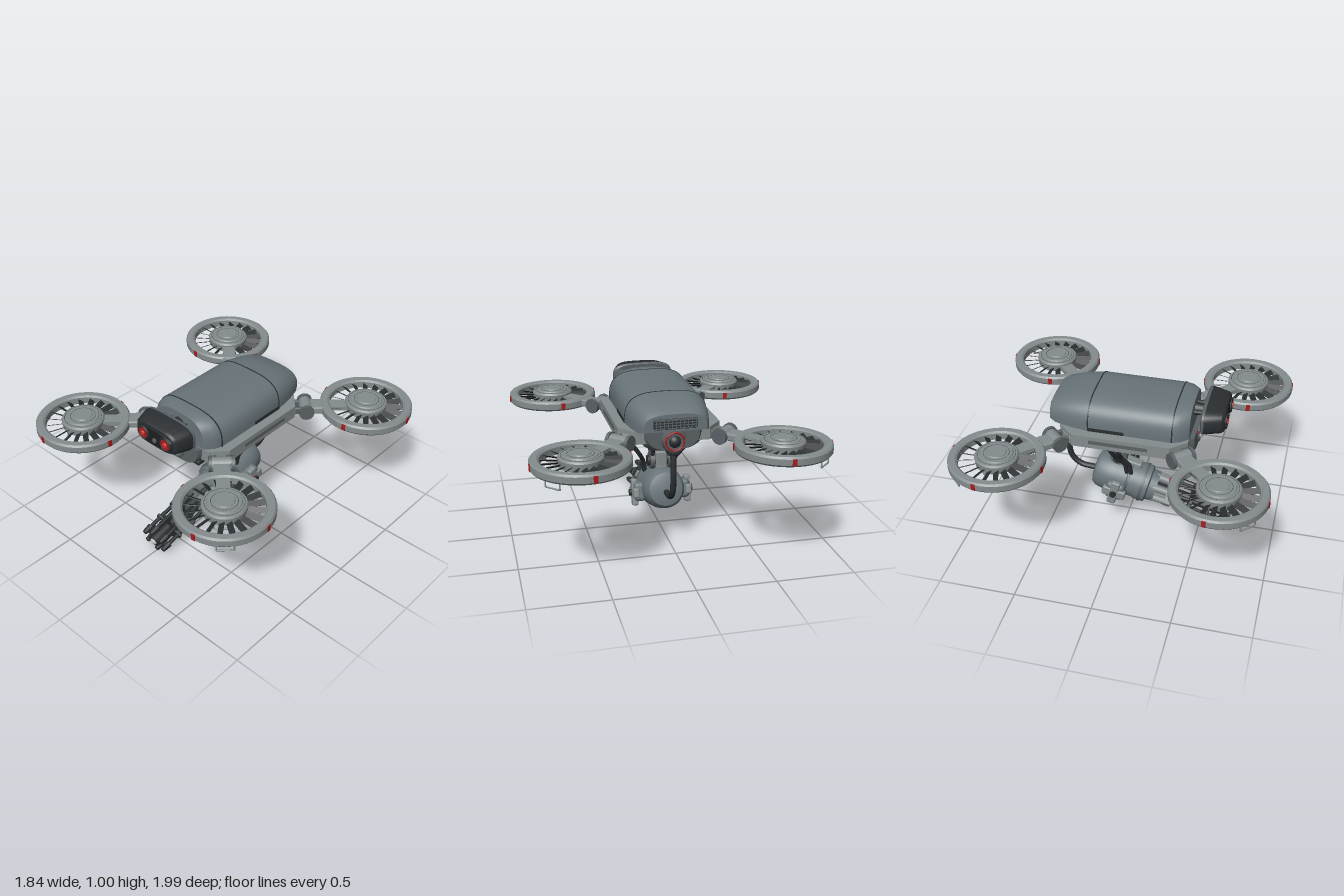
import * as THREE from 'three';
import { toCreasedNormals } from 'three/addons/utils/BufferGeometryUtils.js';
import { RoundedBoxGeometry } from 'three/addons/geometries/RoundedBoxGeometry.js';

const mat = (color) => new THREE.MeshStandardMaterial({ color });
const shellMat = mat(0x69757a), greyMat = mat(0x858c8d), midMat = mat(0x5a6164);
const darkMat = mat(0x2b2f32), redMat = mat(0xa81c1c), lightMat = mat(0xcccccc);
const V = (x, y, z) => new THREE.Vector3(x, y, z);

function add(parent, name, geo, material, x = 0, y = 0, z = 0) {
  const m = new THREE.Mesh(geo, material);
  m.name = name;
  m.position.set(x, y, z);
  parent.add(m);
  return m;
}
function group(parent, name, x = 0, y = 0, z = 0) {
  const g = new THREE.Group();
  g.name = name;
  g.position.set(x, y, z);
  parent.add(g);
  return g;
}
const box = (w, h, d) => new THREE.BoxGeometry(w, h, d);
const rbox = (w, h, d, r = 0.012) => new RoundedBoxGeometry(w, h, d, 2, r);
const cyl = (r1, r2, h, n = 24) => new THREE.CylinderGeometry(r1, r2, h, n);
const cylZ = (rFront, rBack, h, n = 24) => cyl(rFront, rBack, h, n).rotateX(Math.PI / 2);
const cylX = (r, h, n = 24) => cyl(r, r, h, n).rotateZ(Math.PI / 2);
const lathe = (pts, n = 40) => toCreasedNormals(
  new THREE.LatheGeometry(pts.map(([r, y]) => new THREE.Vector2(r, y)), n), 0.5);

// straight rod between two points
function rod(parent, name, a, b, r, material, n = 8) {
  const m = add(parent, name, cyl(r, r, a.distanceTo(b), n), material);
  m.position.copy(a).lerp(b, 0.5);
  m.quaternion.setFromUnitVectors(V(0, 1, 0), b.clone().sub(a).normalize());
}
const tube = (pts, r) => new THREE.TubeGeometry(new THREE.CatmullRomCurve3(pts), 28, r, 10);

// loft of superellipse sections [z, halfWidth, yBottom, yTop], z rising; half = flat bottom
function loft(sections, power, half) {
  const N = 36, pos = [], idx = [];
  for (const [z, w, y0, y1] of sections) {
    for (let j = 0; j < N; j++) {
      const t = half ? Math.PI * j / (N - 1) : 2 * Math.PI * j / N;
      const c = Math.cos(t), s = Math.sin(t), e = 2 / power;
      const px = Math.sign(c) * Math.abs(c) ** e, py = Math.sign(s) * Math.abs(s) ** e;
      pos.push(w * px, half ? y0 + (y1 - y0) * py : (y0 + y1) / 2 + (y1 - y0) / 2 * py, z);
    }
  }
  const last = sections.length - 1;
  for (const k of [0, last]) pos.push(0, (sections[k][2] + sections[k][3]) / 2, sections[k][0]);
  const c0 = sections.length * N;
  for (let j = 0; j < N; j++) {
    const k = (j + 1) % N;
    for (let i = 0; i < last; i++) {
      const a = i * N + j, b = i * N + k;
      idx.push(a, b, a + N, b, b + N, a + N);
    }
    idx.push(c0, k, j, c0 + 1, last * N + j, last * N + k);
  }
  const g = new THREE.BufferGeometry();
  g.setAttribute('position', new THREE.Float32BufferAttribute(pos, 3));
  g.setIndex(idx);
  return toCreasedNormals(g, 0.5);
}

function buildBody(root) {
  const body = group(root, 'body');
  add(body, 'upperShell', loft([[-0.48, 0.2, 0.82, 0.93], [-0.44, 0.222, 0.81, 0.955], [-0.33, 0.25, 0.8, 0.985],
    [-0.21, 0.268, 0.8, 1.0], [0.33, 0.268, 0.8, 1.0], [0.38, 0.25, 0.8, 1.0], [0.43, 0.205, 0.8, 0.99]], 3.2, true), shellMat);
  for (const z of [-0.21, 0.33])
    add(body, 'shellSeam', loft([[z - 0.004, 0.2695, 0.8, 1.0015], [z + 0.004, 0.2695, 0.8, 1.0015]], 3.2, true), darkMat);

  // flat deck with rounded corners
  const s = new THREE.Shape([[0.33, -0.3], [0.33, 0.33], [0.24, 0.43], [-0.24, 0.43], [-0.33, 0.33],
    [-0.33, -0.3], [-0.24, -0.4], [0.24, -0.4]].map(([x, z]) => new THREE.Vector2(x, -z)).reverse());
  add(body, 'deck', new THREE.ExtrudeGeometry(s, { depth: 0.06, bevelSize: 0.0, bevelThickness: 0.012, bevelSegments: 1 })
    .rotateX(-Math.PI / 2), greyMat, 0, 0.735, 0);

  // lower hull, nose and belly
  add(body, 'lowerHull', loft([[-0.42, 0.17, 0, 0.12], [-0.36, 0.21, 0, 0.145], [0.38, 0.21, 0, 0.145],
    [0.46, 0.18, 0, 0.14]], 2.8, true), midMat, 0, 0.8, 0).rotation.z = Math.PI;
  add(body, 'bellyPlate', rbox(0.3, 0.035, 0.44), darkMat, 0, 0.655, 0.2);
  add(body, 'noseRing', new THREE.TorusGeometry(0.056, 0.01, 8, 32), midMat, 0, 0.735, 0.462);
  add(body, 'noseLens', new THREE.SphereGeometry(0.047, 24, 16), lightMat, 0, 0.735, 0.45);
  for (const [x, y] of [[-0.065, 0.77], [0.065, 0.77], [0, 0.785]])
    add(body, 'noseLight', new THREE.SphereGeometry(0.009, 10, 8), redMat, x, y, 0.461);

  // rear grille and sensor
  add(body, 'rearGrille', rbox(0.28, 0.07, 0.02), darkMat, 0, 0.868, -0.477);
  for (let i = 0; i < 4; i++) add(body, 'grilleSlat', box(0.27, 0.006, 0.008), midMat, 0, 0.843 + i * 0.017, -0.487);
  for (let i = 0; i < 11; i++) add(body, 'grilleBar', box(0.006, 0.06, 0.008), midMat, -0.125 + i * 0.025, 0.868, -0.487);
  add(body, 'rearSensorHousing', cylZ(0.085, 0.07, 0.06), midMat, 0, 0.745, -0.43);
  add(body, 'rearSensorRing', new THREE.TorusGeometry(0.058, 0.006, 8, 32), redMat, 0, 0.745, -0.462);
  add(body, 'rearSensorLens', new THREE.SphereGeometry(0.042, 20, 12), darkMat, 0, 0.745, -0.445);

  for (const sx of [1, -1]) {
    add(body, 'sideSlot', box(0.012, 0.024, 0.38), midMat, sx * 0.328, 0.768, 0);
    add(body, 'sideVent', box(0.02, 0.022, 0.23), darkMat, sx * 0.262, 0.82, -0.09);
    add(body, 'sideStep', rbox(0.05, 0.06, 0.5), midMat, sx * 0.22, 0.715, 0.02);
    for (const z of [-0.03, -0.09]) add(body, 'cableSocket', rbox(0.05, 0.06, 0.045), darkMat, sx * 0.215, 0.675, z);
  }
}

function buildHead(root) {
  const head = group(root, 'head', 0, 0.91, 0);
  add(head, 'neck', cylZ(0.035, 0.045, 0.1), darkMat, 0, 0, 0.46);
  for (const x of [-0.06, 0.06]) add(head, 'neckRod', cylZ(0.014, 0.014, 0.1, 12), darkMat, x, 0.01, 0.46);
  add(head, 'headBack', loft([[0.492, 0.19, -0.08, 0.085], [0.5, 0.207, -0.088, 0.092], [0.515, 0.207, -0.088, 0.092]], 3.6), midMat);
  add(head, 'headShell', loft([[0.515, 0.203, -0.086, 0.09], [0.53, 0.203, -0.086, 0.09], [0.62, 0.172, -0.078, 0.08],
    [0.635, 0.155, -0.07, 0.07]], 3.6), darkMat);
  add(head, 'facePlate', loft([[0.63, 0.15, -0.06, 0.055], [0.641, 0.145, -0.056, 0.05]], 3), mat(0x1c1f21));
  for (const x of [-0.095, 0.095]) {
    add(head, 'eyeRim', new THREE.TorusGeometry(0.042, 0.008, 8, 32), darkMat, x, -0.003, 0.642);
    add(head, 'eye', cylZ(0.036, 0.038, 0.012, 32), redMat, x, -0.003, 0.642);
    add(head, 'pupil', cylZ(0.014, 0.018, 0.01, 20), mat(0xd23a32), x, -0.003, 0.65);
  }
  add(head, 'centreSensor', cylZ(0.015, 0.018, 0.012, 16), midMat, 0, -0.02, 0.642);
}

function buildFan(root, sx, sz) {
  const fan = group(root, 'fan', sx * 0.617, 0.755, sz * 0.69);
  add(fan, 'duct', lathe([[0.242, -0.025], [0.255, -0.032], [0.292, -0.032], [0.302, -0.02], [0.302, 0.018],
    [0.292, 0.03], [0.255, 0.03], [0.242, 0.02], [0.242, -0.025]], 48), greyMat);
  add(fan, 'hub', lathe([[0, -0.035], [0.1, -0.035], [0.132, -0.02], [0.138, 0.03], [0.13, 0.042], [0.105, 0.042],
    [0.1, 0.05], [0.062, 0.05], [0.058, 0.056], [0, 0.056]]), greyMat);
  for (const r of [0.118, 0.08])
    add(fan, 'hubGroove', new THREE.TorusGeometry(r, 0.002, 6, 40).rotateX(Math.PI / 2), midMat, 0, r > 0.1 ? 0.042 : 0.05, 0);
  for (let i = 0; i < 20; i++) {
    const pivot = group(fan, 'blade', 0, 0, 0);
    pivot.rotation.y = i * Math.PI / 10;
    add(pivot, 'bladeVane', box(0.115, 0.004, 0.038), darkMat, 0.187, 0, 0).rotation.x = 0.6;
  }
  // red markers on the rim
  for (let i = 0; i < 4; i++) {
    const pivot = group(fan, 'rimMarker');
    pivot.rotation.y = i * Math.PI / 2 + 0.13 * sx;
    add(pivot, 'rimMarkerPlate', box(0.01, 0.042, 0.026), redMat, 0.3, -0.001, 0);
  }
  // wire skids
  for (const [dx, dz] of [[0.19, 0.2], [0.06, 0.08]]) {
    const p = [[-1, -0.03], [-1, -0.072], [1, -0.072], [1, -0.03]]
      .map(([k, y]) => V(sx * (dx + k * 0.036), y, sz * (dz - k * 0.036)));
    for (let i = 0; i < 3; i++) rod(fan, 'skid', p[i], p[i + 1], 0.005, greyMat);
  }
  // strut and hinged arm reaching toward the body
  const arm = group(fan, 'arm');
  arm.rotation.y = Math.atan2(-sx, -sz);
  add(arm, 'hubStrut', box(0.085, 0.03, 0.13), greyMat, 0, 0.005, 0.185);
  add(arm, 'outerArm', rbox(0.11, 0.05, 0.1), greyMat, 0, 0, 0.325);
  add(arm, 'hinge', cylX(0.042, 0.13), greyMat, 0, 0, 0.4);
  for (const k of [-1, 1]) {
    add(arm, 'hingeCap', cylX(0.05, 0.022), midMat, k * 0.07, 0, 0.4);
    add(arm, 'hingeFork', rbox(0.025, 0.05, 0.12, 0.008), midMat, k * 0.042, 0, 0.46);
  }
  add(arm, 'innerArm', rbox(0.13, 0.055, 0.08), greyMat, 0, 0, 0.51);
}

function buildTurret(root) {
  const turret = group(root, 'turret');
  add(turret, 'turretBase', lathe([[0, 0.59], [0.085, 0.59], [0.095, 0.605], [0.13, 0.605], [0.145, 0.62],
    [0.145, 0.65], [0.12, 0.67], [0, 0.67]]), greyMat, 0, 0, -0.03);
  for (const sx of [1, -1]) {
    for (const z of [0.0, -0.12]) rod(turret, 'yokeStrut', V(sx * 0.06, 0.61, z), V(sx * 0.06, 0.47, -0.06), 0.015, darkMat);
    add(turret, 'yokePlate', cylX(0.058, 0.03), midMat, sx * 0.06, 0.485, -0.06);
    // side cables
    for (const k of [0, 1])
      add(turret, 'sideCable', tube([V(sx * 0.21, 0.68, -0.03 - k * 0.06), V(sx * 0.2, 0.62, -0.03 - k * 0.05),
        V(sx * 0.14, 0.53, -0.02 - k * 0.03), V(sx * 0.105, 0.46, 0.02 - k * 0.03), V(sx * 0.09, 0.38, 0.03 - k * 0.03)], 0.014), darkMat);
  }
  add(turret, 'pivotBlock', rbox(0.075, 0.17, 0.09), greyMat, 0, 0.47, -0.06);
  add(turret, 'pivotPin', cylX(0.035, 0.18), darkMat, 0, 0.485, -0.06);
  add(turret, 'feedSocket', rbox(0.08, 0.07, 0.08), darkMat, 0, 0.68, -0.4);
  add(turret, 'feedHose', tube([V(0, 0.68, -0.41), V(0, 0.6, -0.42), V(0, 0.48, -0.425), V(0, 0.39, -0.405),
    V(0, 0.335, -0.345), V(0, 0.32, -0.24)], 0.02), darkMat);

  // gun, tipped nose down
  const gun = group(turret, 'gun', 0, 0.24, 0.15);
  gun.rotation.x = 0.25;
  add(gun, 'gunHousing', lathe([[0, -0.4], [0.075, -0.4], [0.11, -0.39], [0.13, -0.36], [0.14, -0.29], [0.143, -0.17],
    [0.125, -0.16], [0.125, -0.1], [0.13, -0.09], [0.13, -0.02], [0.11, -0.01], [0.105, 0.04], [0, 0.04]]).rotateX(Math.PI / 2), shellMat);
  for (const z of [-0.16, -0.055]) add(gun, 'housingBand', cylZ(0.136, 0.136, 0.018, 40), midMat, 0, 0, z);
  add(gun, 'topSpine', rbox(0.07, 0.05, 0.2), greyMat, 0, 0.13, -0.2);
  for (const sx of [1, -1]) {
    add(gun, 'sideLobe', rbox(0.08, 0.13, 0.13, 0.03), shellMat, sx * 0.15, -0.02, -0.22);
    add(gun, 'crossPlateTall', rbox(0.04, 0.18, 0.06), greyMat, sx * 0.18, -0.025, -0.22);
    add(gun, 'crossPlateWide', rbox(0.04, 0.065, 0.16), greyMat, sx * 0.178, -0.025, -0.22);
    add(gun, 'crossBolt', cylX(0.022, 0.03, 16), darkMat, sx * 0.2, -0.025, -0.22);
    add(gun, 'lobeSensor', cylZ(0.02, 0.02, 0.02, 16), darkMat, sx * 0.16, -0.02, -0.15);
  }
  // barrel cluster
  add(gun, 'coreBarrel', cylZ(0.034, 0.034, 0.5), darkMat, 0, 0, 0.28);
  add(gun, 'coreMuzzle', cylZ(0.043, 0.043, 0.06), darkMat, 0, 0, 0.54);
  add(gun, 'coreLens', new THREE.SphereGeometry(0.03, 20, 12), lightMat, 0, 0, 0.555);
  for (let i = 0; i < 6; i++) {
    const a = Math.PI / 2 + i * Math.PI / 3, x = Math.cos(a) * 0.082, y = Math.sin(a) * 0.082;
    add(gun, 'barrelSleeve', cylZ(0.024, 0.026, 0.15, 16), greyMat, x, y, 0.09);
    add(gun, 'barrel', cylZ(0.013, 0.013, 0.56, 12), darkMat, x, y, 0.29);
    add(gun, 'barrelMuzzle', cylZ(0.016, 0.022, 0.06, 12), darkMat, x, y, 0.54);
    for (const [z, m, d] of [[0.14, greyMat, 0.05], [0.29, darkMat, 0.03], [0.42, darkMat, 0.018]]) {
      const clamp = add(gun, 'barrelClamp', rbox(0.048, 0.08, d, 0.006), m, x * 0.8, y * 0.8, z);
      clamp.rotation.z = a - Math.PI / 2;
    }
  }
}

export function createModel() {
  const root = new THREE.Group();
  root.name = 'armedDrone';
  buildBody(root);
  buildHead(root);
  for (const sx of [1, -1]) for (const sz of [1, -1]) buildFan(root, sx, sz);
  buildTurret(root);
  return root;
}
